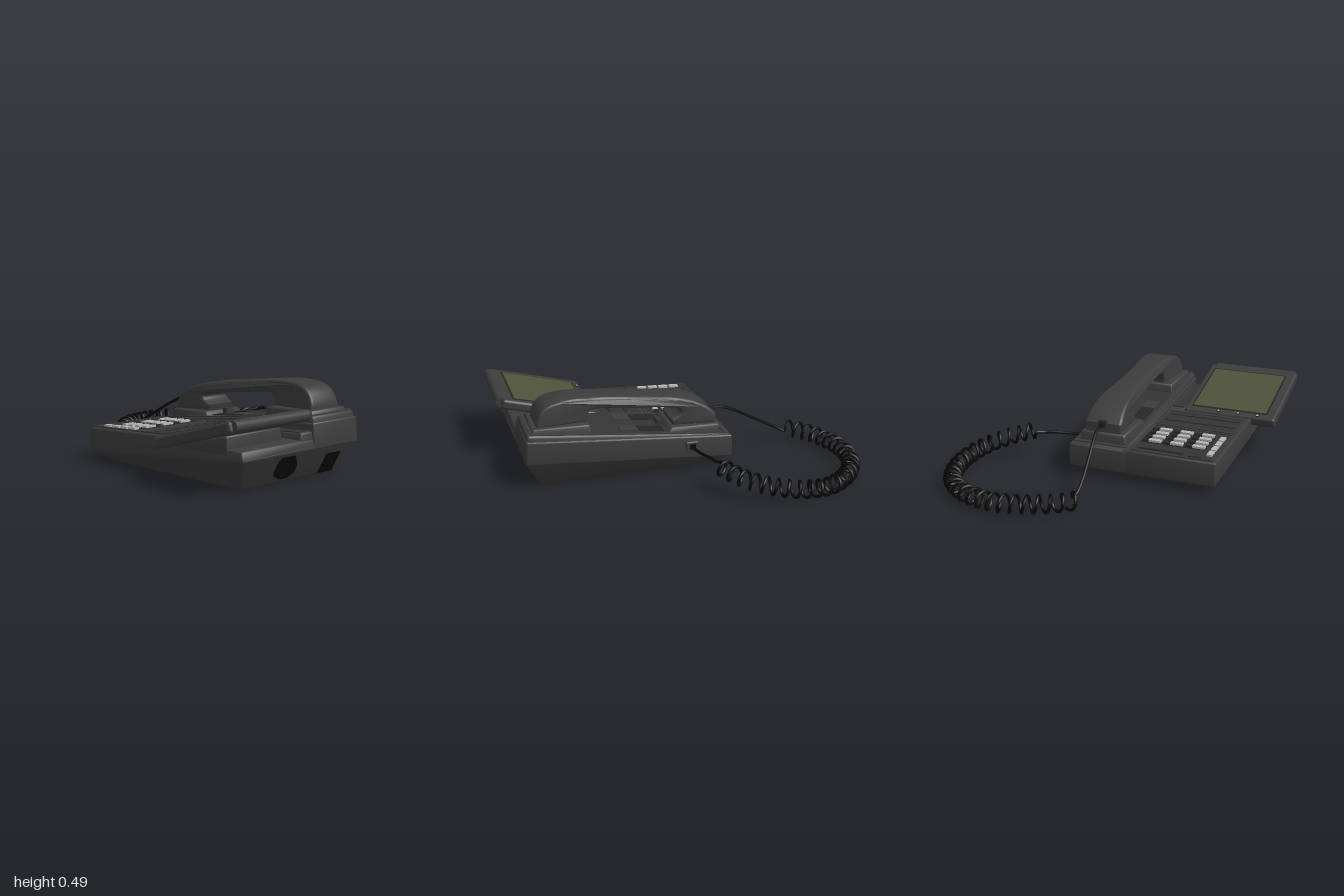
import * as THREE from 'three';
import { toCreasedNormals } from 'three/addons/utils/BufferGeometryUtils.js';
import { RoundedBoxGeometry } from 'three/addons/geometries/RoundedBoxGeometry.js';

const material = (name, color) => {
  const m = new THREE.MeshStandardMaterial({ color });
  m.name = name;
  return m;
};
const lerp = THREE.MathUtils.lerp;

// The keypad deck rises gently towards the front.
const DECK_SLOPE = 0.053;
const deckY = (z) => 0.19 + DECK_SLOPE * (z + 0.3);
// The handset tray rises more steeply.
const TRAY_SLOPE = 0.119;
const trayY = (z) => 0.195 + TRAY_SLOPE * (z + 0.3);

export function createModel() {
  const model = new THREE.Group();
  model.name = 'deskPhone';

  const body = material('bodyCharcoal', 0x3c3c3d);
  const panel = material('panelCharcoal', 0x343435);
  const dark = material('recessDark', 0x262627);
  const black = material('cordBlack', 0x090909);
  const light = material('keyGrey', 0xb4b5b4);
  const olive = material('screenOlive', 0x4e523a);

  const add = (name, geometry, mat, parent = model) => {
    const mesh = new THREE.Mesh(geometry, mat);
    mesh.name = name;
    parent.add(mesh);
    return mesh;
  };

  // Soft-edged block between two levels: [x0, x1, z0, z1, yBack, yFront] each.
  const block = (name, lo, hi, mat, radius = 0.01) => {
    const w = hi[1] - hi[0], d = hi[3] - hi[2];
    const h = (hi[4] + hi[5] - lo[4] - lo[5]) / 2;
    const geo = new RoundedBoxGeometry(w, h, d, 2, radius);
    const p = geo.attributes.position;
    for (let i = 0; i < p.count; i++) {
      const u = p.getX(i) / w + 0.5, v = p.getY(i) / h + 0.5, t = p.getZ(i) / d + 0.5;
      p.setXYZ(i,
        lerp(lerp(lo[0], lo[1], u), lerp(hi[0], hi[1], u), v),
        lerp(lerp(lo[4], lo[5], t), lerp(hi[4], hi[5], t), v),
        lerp(lerp(lo[2], lo[3], t), lerp(hi[2], hi[3], t), v));
    }
    return add(name, toCreasedNormals(geo, 0.6), mat);
  };

  // Thin box lying on a sloped surface.
  const lay = (name, x0, x1, z0, z1, height, mat, surface = deckY, slope = DECK_SLOPE) => {
    const mesh = add(name, new THREE.BoxGeometry(x1 - x0, height, z1 - z0), mat);
    const z = (z0 + z1) / 2;
    mesh.position.set((x0 + x1) / 2, surface(z) + height / 2, z);
    mesh.rotation.x = -Math.atan(slope);
    return mesh;
  };

  // Raised rectangular rim around a panel.
  const rim = (name, x0, x1, z0, z1, t, height, mat, surface, slope) => {
    lay(name, x0, x1, z0, z0 + t, height, mat, surface, slope);
    lay(name, x0, x1, z1 - t, z1, height, mat, surface, slope);
    lay(name, x0, x0 + t, z0, z1, height, mat, surface, slope);
    lay(name, x1 - t, x1, z0, z1, height, mat, surface, slope);
  };

  // Housing: tapered tub, keypad deck, screen pocket, side strip and handset base
  block('lowerTub', [-0.6, 0.13, -0.19, 0.83, 0, 0], [-0.69, 0.2, -0.302, 0.925, 0.07, 0.175], body, 0.008);
  block('keypadDeck', [-0.688, -0.13, -0.3, 0.42, 0.05, 0.11],
    [-0.685, -0.13, -0.298, 0.41, deckY(-0.3), deckY(0.41)], body);
  block('screenPocket', [-0.688, -0.13, 0.38, 0.922, 0.11, 0.16], [-0.68, -0.13, 0.38, 0.905, 0.215, 0.215], body);
  block('sideStrip', [-0.25, -0.13, 0.38, 0.91, 0.16, 0.16], [-0.245, -0.13, 0.38, 0.9, deckY(0.38), 0.255], body);
  lay('sideStripInlay', -0.238, -0.168, 0.45, 0.88, 0.005, panel);
  block('handsetBase', [-0.16, 0.198, -0.3, 0.922, 0.05, 0.16], [-0.16, 0.198, -0.3, 0.91, 0.185, 0.3], body);
  block('handsetTray', [-0.155, 0.185, -0.29, 0.91, 0.16, 0.27],
    [-0.152, 0.18, -0.285, 0.9, trayY(-0.29) - 0.006, trayY(0.9) - 0.006], body, 0.012);
  rim('trayRim', -0.148, 0.178, -0.27, 0.885, 0.014, 0.006, body, (z) => trayY(z) - 0.006, TRAY_SLOPE);
  lay('trayFloor', -0.134, 0.164, -0.256, 0.871, 0.002, panel, (z) => trayY(z) - 0.006, TRAY_SLOPE);

  // Cradles, hook wells and small hook
  block('frontCradle', [-0.13, 0.16, 0.53, 0.88, 0.27, 0.3], [-0.12, 0.15, 0.54, 0.865, 0.342, 0.352], body);
  block('rearCradle', [-0.13, 0.16, -0.24, 0.09, 0.19, 0.22], [-0.12, 0.15, -0.23, 0.06, 0.25, 0.262], body);
  for (const [x0, x1] of [[-0.11, -0.03], [0.07, 0.14]]) {
    lay('hookWell', x0, x1, 0.1, 0.25, 0.004, dark, trayY, TRAY_SLOPE);
    lay('hookPlate', x0, x1, 0.26, 0.36, 0.006, body, trayY, TRAY_SLOPE);
  }
  lay('switchHook', -0.01, 0.05, 0.09, 0.12, 0.03, panel, trayY, TRAY_SLOPE);

  // Keypad panel
  lay('keypadPanel', -0.66, -0.18, -0.28, 0.11, 0.004, panel);
  rim('keypadRim', -0.665, -0.175, -0.285, 0.115, 0.01, 0.008, body);
  for (let col = 0; col < 3; col++) {
    for (let row = 0; row < 4; row++) {
      const x = -0.57 + col * 0.131, z = -0.148 + row * 0.058;
      lay('keyWell', x - 0.008, x + 0.12, z - 0.008, z + 0.038, 0.006, dark);
      lay('key', x, x + 0.072, z, z + 0.03, 0.018, light);
      lay('keySide', x + 0.075, x + 0.113, z, z + 0.03, 0.016, dark);
    }
  }
  for (let i = 0; i < 4; i++) {
    const z = -0.226 + i * 0.071;
    lay('functionKey', -0.64, -0.61, z, z + 0.058, 0.016, light);
  }
  for (const [x0, x1, z] of [[-0.585, -0.52, -0.255], [-0.475, -0.352, -0.237], [-0.34, -0.215, -0.237]]) {
    lay('topButtonRim', x0 - 0.004, x1 + 0.004, z - 0.014, z + 0.014, 0.007, dark);
    lay('topButton', x0, x1, z - 0.01, z + 0.01, 0.012, panel);
  }

  // Speed-dial panel with two rows of small buttons
  lay('dialPanel', -0.66, -0.18, 0.13, 0.365, 0.004, panel);
  rim('dialRim', -0.665, -0.175, 0.13, 0.37, 0.01, 0.008, body);
  for (const z of [0.222, 0.318]) {
    lay('dialGroove', -0.64, -0.2, z - 0.008, z + 0.008, 0.006, dark);
    for (let i = 0; i < 6; i++) {
      const x = -0.632 + i * 0.073;
      lay('dialButton', x, x + 0.055, z - 0.014, z + 0.002, 0.01, panel);
    }
  }

  // Tilted display on its wedge
  block('screenWedge', [-0.685, -0.285, 0.43, 0.81, 0.18, 0.18], [-0.68, -0.29, 0.43, 0.8, 0.2, 0.28], body, 0.006);
  const display = new THREE.Group();
  display.name = 'display';
  display.position.set(-0.54, 0.285, 0.69);
  display.rotation.x = -0.265;
  model.add(display);
  add('displayCase', new RoundedBoxGeometry(0.575, 0.06, 0.58, 3, 0.018), body, display);
  const bar = add('displayLip', new THREE.CylinderGeometry(0.03, 0.03, 0.52, 20), body, display);
  bar.rotation.z = Math.PI / 2;
  bar.position.set(-0.008, 0, 0.29);
  add('screenBezel', new THREE.BoxGeometry(0.48, 0.004, 0.468), dark, display).position.set(0.01, 0.0305, -0.008);
  add('screen', new THREE.BoxGeometry(0.46, 0.006, 0.448), olive, display).position.set(0.01, 0.0315, -0.008);
  for (const x of [-0.175, -0.053, 0.07]) {
    add('indicatorRing', new THREE.CylinderGeometry(0.012, 0.012, 0.006, 14), dark, display).position.set(x, 0.031, -0.265);
    add('indicator', new THREE.CylinderGeometry(0.007, 0.007, 0.01, 12), light, display).position.set(x, 0.031, -0.265);
  }

  // Dark openings on the sloping front face
  const opening = (name, points) => {
    const shape = new THREE.Shape(points.map(([x, y]) => new THREE.Vector2(x, y)));
    const geo = new THREE.ExtrudeGeometry(shape, { depth: 0.006, bevelEnabled: false });
    const p = geo.attributes.position;
    for (let i = 0; i < p.count; i++) p.setZ(i, p.getZ(i) + 0.829 + 0.543 * p.getY(i));
    geo.computeVertexNormals();
    add(name, geo, black);
  };
  opening('fingerOpening', [[-0.34, 0.02], [-0.29, 0.02], [-0.25, 0.045], [-0.25, 0.085],
    [-0.3, 0.15], [-0.39, 0.15], [-0.41, 0.135], [-0.415, 0.07], [-0.4, 0.045]]);
  opening('frontSocket', [[-0.035, 0.005], [0.08, 0.005], [0.08, 0.12], [-0.035, 0.12]]);

  // Handset: side profile extruded, waisted in the middle and narrower on top
  const v = (z, y) => new THREE.Vector2(-z, y);
  const profile = new THREE.Shape();
  profile.moveTo(-0.84, 0.345);
  profile.splineThru([v(0.835, 0.385), v(0.805, 0.44), v(0.74, 0.475), v(0.6, 0.487), v(0.3, 0.457),
    v(-0.015, 0.417), v(-0.15, 0.364), v(-0.218, 0.305)]);
  profile.lineTo(0.22, 0.25);
  profile.lineTo(-0.04, 0.255);
  profile.lineTo(-0.05, 0.295);
  profile.splineThru([v(0.01, 0.315), v(-0.008, 0.337), v(0.01, 0.356), v(0.06, 0.367),
    v(0.25, 0.386), v(0.48, 0.411), v(0.53, 0.401), v(0.548, 0.375)]);
  profile.lineTo(-0.55, 0.345);
  const handset = new THREE.ExtrudeGeometry(profile, {
    depth: 0.194, curveSegments: 4, steps: 1,
    bevelEnabled: true, bevelThickness: 0.018, bevelSize: 0.014, bevelOffset: -0.014, bevelSegments: 3,
  });
  handset.translate(0, 0, -0.097);
  handset.rotateY(Math.PI / 2);
  const hp = handset.attributes.position;
  for (let i = 0; i < hp.count; i++) {
    const y = hp.getY(i), z = hp.getZ(i);
    const end = THREE.MathUtils.smoothstep(Math.abs(z - 0.3), 0.05, 0.55);
    const top = THREE.MathUtils.clamp((y - 0.3) / 0.18, 0, 1);
    hp.setX(i, 0.02 + hp.getX(i) * lerp(0.74, 1, end) * (1 - 0.12 * top));
  }
  add('handset', toCreasedNormals(handset, 0.6), body);
  add('handsetPlug', new THREE.BoxGeometry(0.045, 0.04, 0.03), dark).position.set(0.02, 0.3, -0.222);

  // Cord socket on the side
  add('sideSocket', new RoundedBoxGeometry(0.04, 0.06, 0.075, 2, 0.008), body).position.set(0.2, 0.155, -0.045);
  add('sidePlug', new THREE.BoxGeometry(0.02, 0.03, 0.035), black).position.set(0.216, 0.155, -0.045);

  // Cord: straight lead, coil along an arc, straight lead to the handset
  const points = [[0.21, 0.15, -0.045], [0.3, 0.152, -0.058], [0.4, 0.157, -0.09], [0.455, 0.155, -0.11]]
    .map((p) => new THREE.Vector3(...p));
  const turns = 27, perTurn = 12, total = turns * perTurn;
  for (let i = 0; i <= total; i++) {
    const t = i / total, angle = lerp(1.15, -2.58, t), spin = (i / perTurn) * Math.PI * 2 + Math.PI;
    const r = 0.445 + 0.03 * Math.max(0, t - 0.85) / 0.15 + 0.046 * Math.cos(spin);
    const y = 0.058 + 0.1 * Math.pow(Math.max(0, 1 - t / 0.42), 1.3) + 0.046 * Math.sin(spin);
    points.push(new THREE.Vector3(0.33 + r * Math.cos(angle), y, -0.51 + r * Math.sin(angle)));
  }
  for (const p of [[-0.045, 0.07, -0.71], [-0.04, 0.12, -0.62], [-0.02, 0.19, -0.5], [0.005, 0.265, -0.37],
    [0.018, 0.295, -0.29], [0.02, 0.3, -0.215]]) points.push(new THREE.Vector3(...p));
  // Centripetal spacing keeps the coil even where lead and coil meet.
  const cord = new THREE.CatmullRomCurve3(points, false, 'centripetal');
  cord.arcLengthDivisions = 2000;
  add('coiledCord', new THREE.TubeGeometry(cord, 900, 0.009, 7), black);

  return model;
}
